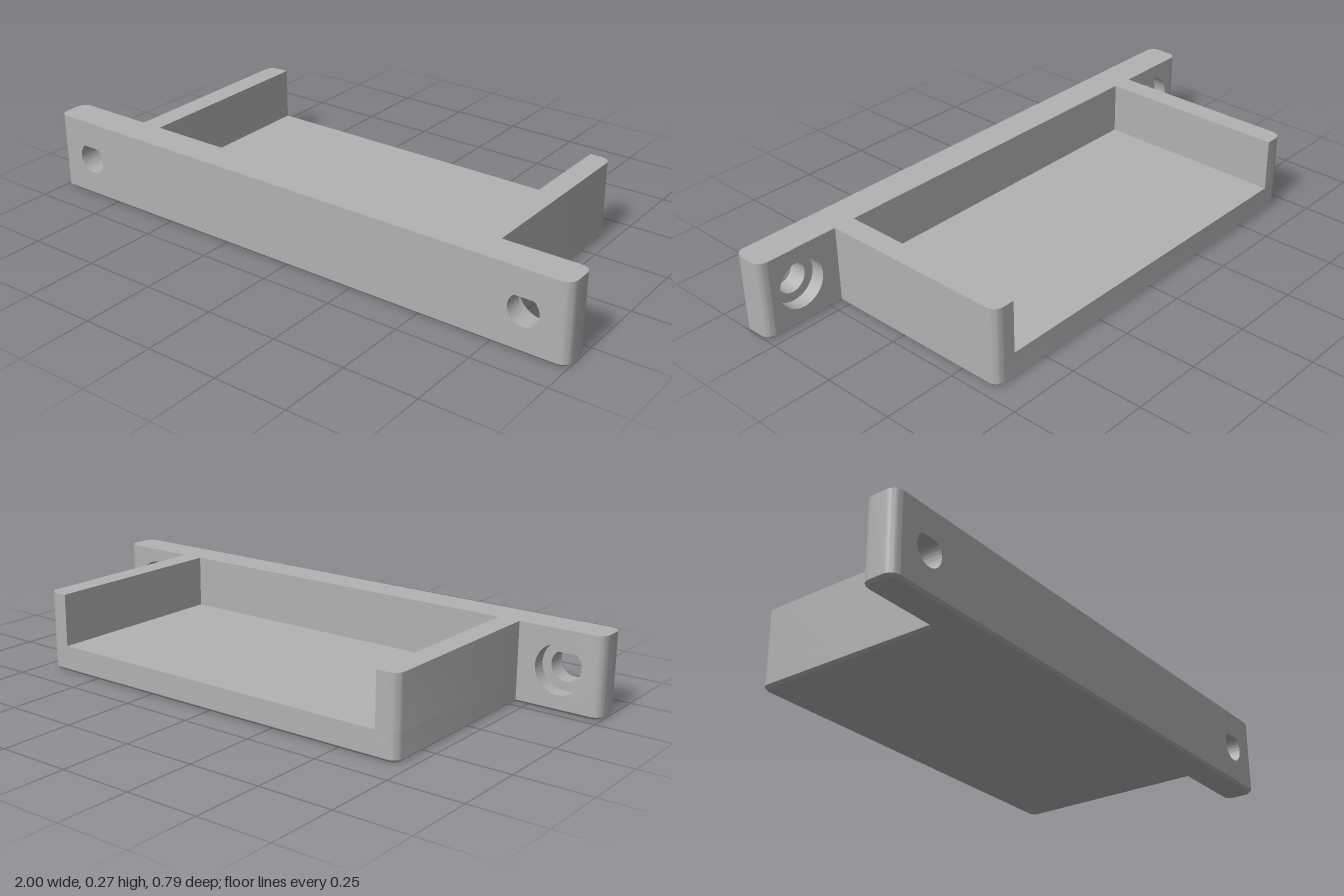
import * as THREE from 'three';
import { toCreasedNormals } from 'three/addons/utils/BufferGeometryUtils.js';

const W = 1, D = 0.395, H = 0.27;         // half width, half depth, height
const TRAY = 0.71, INNER = 0.635;         // outer and inner half width of the tray
const PLATE = 0.28, STEP = 0.33;          // back of the front plate, counterbore floor
const FLOOR = 0.09, CHAMFER = 0.009, R = 0.033;
const HOLE_X = 0.855, HOLE_Y = 0.138, HOLE_R = 0.052, BORE_R = 0.083;

const grey = new THREE.MeshStandardMaterial({ color: 0xb2b2b2 });
grey.name = 'grey';

// Right-angled outline from [x, z, radius] corners; returns points (x, -z)
function outline(corners) {
  const pts = corners.map(([x, z]) => new THREE.Vector2(x, -z));
  const n = pts.length, out = [];
  pts.forEach((p, i) => {
    const r = corners[i][2] || 0;
    if (!r) { out.push(p); return; }
    const a = pts[(i + n - 1) % n].clone().sub(p).normalize();
    const b = pts[(i + 1) % n].clone().sub(p).normalize();
    const c = p.clone().addScaledVector(a, r).addScaledVector(b, r);
    for (let k = 0; k <= 8; k++) {
      const t = (k / 8) * Math.PI / 2;
      out.push(c.clone().addScaledVector(b, -r * Math.cos(t)).addScaledVector(a, -r * Math.sin(t)));
    }
  });
  return out;
}

function addMesh(group, name, geometry) {
  const mesh = new THREE.Mesh(toCreasedNormals(geometry, 0.5), grey);
  mesh.name = name;
  group.add(mesh);
}

// Upright block with the given plan
function block(corners, y0, y1) {
  return new THREE.ExtrudeGeometry(new THREE.Shape(outline(corners)), { depth: y1 - y0, bevelEnabled: false })
    .rotateX(-Math.PI / 2).translate(0, y0, 0);
}

// Whole T-shaped plan, pulled in by i
function plan(i) {
  const w = W - i, t = TRAY - i, f = D - i, s = PLATE + i, r = R - i;
  return outline([[-w, f, r], [w, f, r], [w, s, r], [t, s], [t, -f, r], [-t, -f, r], [-t, s], [-w, s, r]]);
}

// Sloping band round the bottom edge
function chamferBand() {
  const low = plan(CHAMFER), high = plan(0), pos = [];
  low.forEach((p, j) => {
    const k = (j + 1) % low.length;
    const a = [p.x, 0, -p.y], b = [low[k].x, 0, -low[k].y];
    const c = [high[k].x, CHAMFER, -high[k].y], d = [high[j].x, CHAMFER, -high[j].y];
    pos.push(...a, ...b, ...c, ...a, ...c, ...d);
  });
  const g = new THREE.BufferGeometry();
  g.setAttribute('position', new THREE.Float32BufferAttribute(pos, 3));
  g.computeVertexNormals();
  return g;
}

// One layer of the front plate, pierced by two holes
function plateLayer(z0, z1, hole) {
  const x = W - R;
  const shape = new THREE.Shape([[-x, CHAMFER], [x, CHAMFER], [x, H], [-x, H]].map(p => new THREE.Vector2(...p)));
  for (const side of [-1, 1]) shape.holes.push(hole(side * HOLE_X));
  return new THREE.ExtrudeGeometry(shape, { depth: z1 - z0, bevelEnabled: false, curveSegments: 40 })
    .translate(0, 0, z0);
}

// Round hole with a pointed top
function teardrop(x) {
  const tip = 0.066, half = Math.acos(HOLE_R / tip), path = new THREE.Path();
  path.moveTo(x, HOLE_Y + tip);
  path.absarc(x, HOLE_Y, HOLE_R, Math.PI / 2 + half, Math.PI * 2.5 - half, false);
  path.closePath();
  return path;
}

function roundHole(x) {
  return new THREE.Path().absarc(x, HOLE_Y, BORE_R, 0, Math.PI * 2, false);
}

export function createModel() {
  const model = new THREE.Group();
  model.name = 'mountingTray';

  // Underside and chamfered bottom edge
  const under = new THREE.Shape(plan(CHAMFER).map(p => new THREE.Vector2(p.x, -p.y)));
  addMesh(model, 'underside', new THREE.ShapeGeometry(under).rotateX(Math.PI / 2));
  addMesh(model, 'bottomChamfer', chamferBand());

  // Tray floor, open at the back
  addMesh(model, 'trayFloor', block(
    [[-TRAY, PLATE], [TRAY, PLATE], [TRAY, -D, R], [-TRAY, -D, R]], CHAMFER, FLOOR));

  // Front plate: teardrop holes with round counterbores behind
  addMesh(model, 'frontPlate', plateLayer(STEP, D, teardrop));
  addMesh(model, 'counterboreLayer', plateLayer(PLATE, STEP, roundHole));

  // Side walls and rounded ends of the plate
  for (const [s, label] of [[1, 'left'], [-1, 'right']]) {
    addMesh(model, label + 'Wall', block(
      [[s * INNER, PLATE], [s * TRAY, PLATE], [s * TRAY, -D, R], [s * INNER, -D]], FLOOR, H));
    addMesh(model, label + 'PlateEnd', block(
      [[s * (W - R), D], [s * W, D, R], [s * W, PLATE, R], [s * (W - R), PLATE]], CHAMFER, H));
  }
  return model;
}
